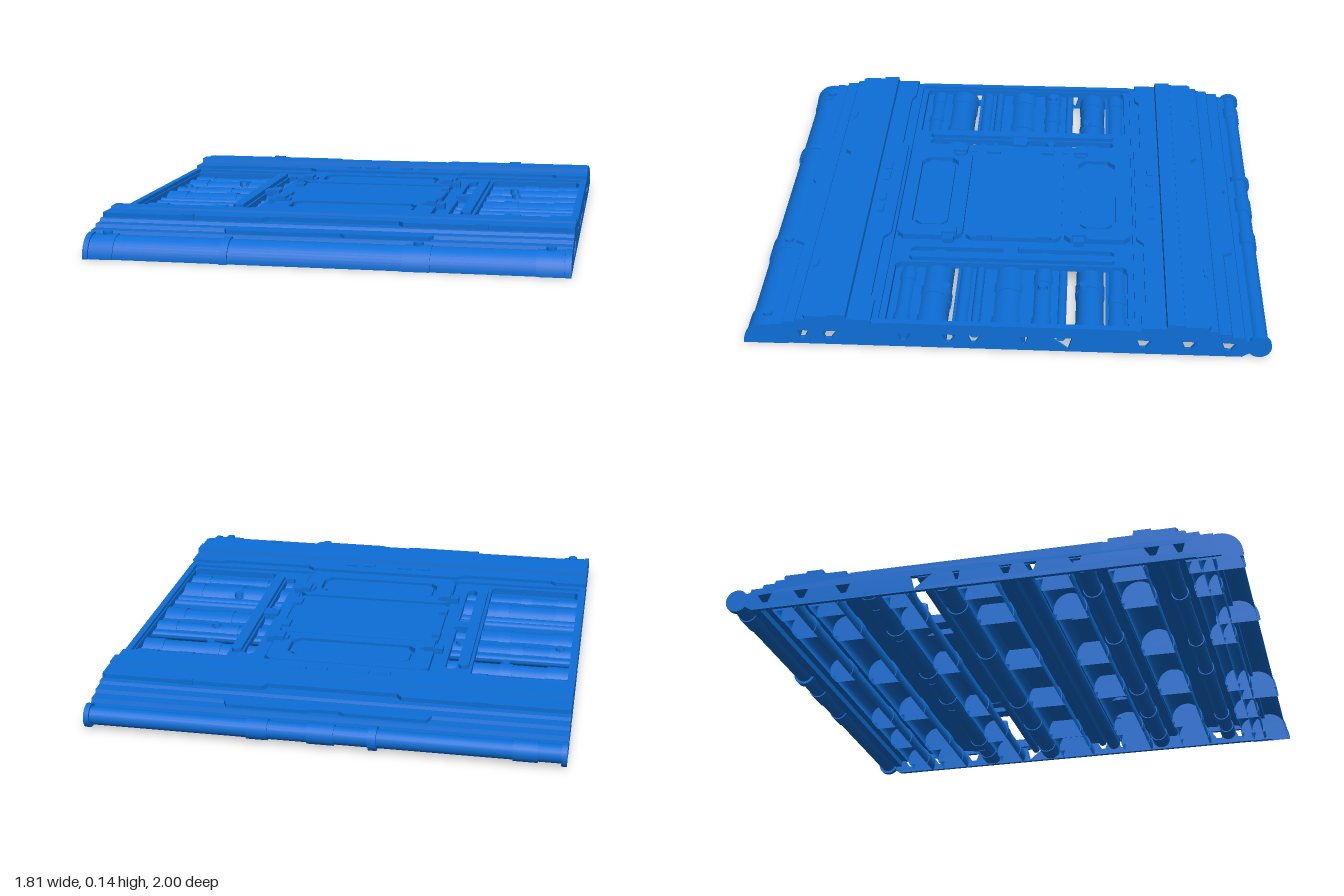
import * as THREE from 'three';

const W = 1.81, HALF = W / 2;
const mat = new THREE.MeshStandardMaterial({ color: 0x0d6fd8, side: THREE.DoubleSide });
const flat = mat.clone();
flat.flatShading = true;

export function createModel() {
  const root = new THREE.Group();
  const add = (name, geo, m = flat) => {
    const mesh = new THREE.Mesh(geo, m);
    mesh.name = name;
    root.add(mesh);
  };
  const box = (name, x0, x1, y0, y1, z0, z1) => add(name,
    new THREE.BoxGeometry(x1 - x0, y1 - y0, z1 - z0).translate((x0 + x1) / 2, (y0 + y1) / 2, (z0 + z1) / 2));

  // outline in x/z raised between two heights
  const plate = (name, shape, y0, y1) => add(name,
    new THREE.ExtrudeGeometry(shape, { depth: y1 - y0, bevelEnabled: false })
      .rotateX(Math.PI / 2).translate(0, y1, 0));
  // section in z/y swept along x
  const sweep = (name, shape, x0, x1) => add(name,
    new THREE.ExtrudeGeometry(shape, { depth: x1 - x0, bevelEnabled: false })
      .rotateY(-Math.PI / 2).translate(x1, 0, 0));
  const poly = pts => new THREE.Shape(pts.map(p => new THREE.Vector2(...p)));
  // rectangle with cut corners
  const cutRect = (x0, x1, z0, z1, c) => poly([[x0 + c, z0], [x1 - c, z0], [x1, z0 + c], [x1, z1 - c],
    [x1 - c, z1], [x0 + c, z1], [x0, z1 - c], [x0, z0 + c]]);

  // pipe shell along x, cut off at the ground
  const openAngle = (r, cy) => cy >= r ? Math.PI / 2 : Math.asin(cy / r);
  const pipe = (name, x0, x1, z, r, cy) => {
    const a = openAngle(r, cy);
    add(name, new THREE.CylinderGeometry(r, r, x1 - x0, 20, 1, true, -a, Math.PI + 2 * a)
      .rotateZ(Math.PI / 2).translate((x0 + x1) / 2, cy, z), mat);
  };
  // collar around a pipe, closed by an upright web at each side
  const collar = (x0, x1, z, r, cy) => {
    const a = openAngle(r, cy);
    const face = new THREE.Shape().absarc(0, 0, r, -a, Math.PI + a, false);
    pipe('collar', x0, x1, z, r, cy);
    for (const x of [x0, x1])
      add('collarFace', new THREE.ShapeGeometry(face, 10).rotateY(Math.PI / 2).translate(x, cy, z));
  };

  // stepped decks at both ends, thin sheet section swept across the width
  const top = [[0.485, 0.11], [0.6, 0.11], [0.605, 0.143], [0.67, 0.143], [0.675, 0.118], [0.795, 0.118],
    [0.8, 0.106], [0.845, 0.106], [0.85, 0.092], [0.895, 0.092], [0.9, 0.075]];
  const under = [[0.9, 0.06], [0.84, 0.065], [0.76, 0.085], [0.6, 0.09], [0.485, 0.075]];
  for (const s of [1, -1]) {
    const end = s > 0 ? 'front' : 'back';
    sweep(end + 'Deck', poly([...top, ...under].map(([z, y]) => [z * s, y])), -HALF, HALF);

    // raised lips with slanted notches
    const lip = (name, half, y0, y1) => plate(end + name,
      poly([...half, ...half.map(([x, z]) => [-x, z]).reverse()].map(([x, z]) => [x, z * s])), y0, y1);
    lip('InnerLip', [[-HALF, 0.605], [-HALF, 0.508], [-0.89, 0.51], [-0.77, 0.51], [-0.75, 0.526],
      [-0.36, 0.526], [-0.33, 0.498]], 0.105, 0.124);
    lip('OuterLip', [[-HALF, 0.67], [-HALF, 0.76], [-0.89, 0.768], [-0.27, 0.768], [-0.25, 0.742]], 0.115, 0.135);
    lip('EdgeLip', [[-0.4, 0.84], [-0.38, 0.882], [-0.07, 0.882], [-0.05, 0.87]], 0.09, 0.106);
    for (const x of [-0.565, 0.565])
      box(end + 'Catch', x - 0.025, x + 0.025, 0.115, 0.14, s * 0.765 - 0.008, s * 0.765 + 0.008);
    for (const [x, w] of [[-0.165, 0.03], [-0.08, 0.03], [0.08, 0.025], [0.165, 0.025]])
      box(end + 'Rivet', x - w, x + w, 0.115, 0.13, s * 0.562 - 0.013, s * 0.562 + 0.013);

    // cover panel framing a sunken tray
    const [z0, z1] = s > 0 ? [0.21, 0.475] : [-0.475, -0.205];
    const [t0, t1] = s > 0 ? [0.265, 0.425] : [-0.415, -0.255];
    const cover = cutRect(-0.33, 0.33, z0, z1, 0.025);
    cover.holes.push(cutRect(-0.255, 0.255, t0, t1, 0.03));
    plate(end + 'Cover', cover, 0.088, 0.115);
    plate(end + 'Tray', cutRect(-0.24, 0.24, t0 + 0.014, t1 - 0.014, 0.025), 0.088, 0.109);
  }

  // centre floor and middle panel
  box('centrePlate', -0.34, 0.34, 0.075, 0.092, -0.49, 0.49);
  plate('middlePanel', cutRect(-0.33, 0.33, -0.192, 0.197, 0.02), 0.09, 0.111);

  for (const m of [1, -1]) {
    // side plate with a large well and a narrow slot
    const span = (a, b) => [Math.min(m * a, m * b), Math.max(m * a, m * b)];
    const side = cutRect(...span(0.34, HALF), -0.49, 0.49, 0);
    side.holes.push(cutRect(...span(0.495, 0.875), -0.46, 0.46, 0.015));
    side.holes.push(cutRect(...span(0.39, 0.435), -0.41, 0.41, 0.015));
    plate('sidePlate', side, 0.072, 0.099);
    plate('slotRail', cutRect(...span(0.442, 0.483), -0.41, 0.41, 0.012), 0.095, 0.116);
    box('sideRail', ...span(0.88, HALF), 0.09, 0.113, -0.49, 0.49);
    box('slotBridge', ...span(0.38, 0.45), 0.085, 0.112, -0.025, 0.035);
    for (const z of [-0.265, 0.265]) {
      box('latch', ...span(0.275, 0.365), 0.1, 0.124, z - 0.022, z + 0.022);
      box('latchTab', ...span(0.29, 0.33), 0.1, 0.134, z - 0.032, z + 0.03);
    }
    for (const z of [-0.12, 0.12])
      box('panelTab', ...span(0.3, 0.335), 0.1, 0.122, z - 0.03, z + 0.03);

    // outer skirt with small openings along its length
    const skirt = poly([[-0.89, 0.003], [-0.93, 0.03], [-0.93, 0.07], [-0.86, 0.09], [-0.77, 0.11], [-0.67, 0.12],
      [-0.48, 0.1], [0.48, 0.1], [0.67, 0.12], [0.77, 0.11], [0.86, 0.09], [0.92, 0.07], [0.92, 0.003]]);
    for (const [z, w] of [[0.77, 0.022], [0.67, 0.03], [0.385, 0.025], [0.215, 0.025], [0.12, 0.025],
      [-0.07, 0.015], [-0.52, 0.03], [-0.69, 0.03], [-0.84, 0.03]])
      skirt.holes.push(poly([[z - w, 0.066], [z + w, 0.066], [z + w * 0.5, 0.03], [z - w * 0.2, 0.03]]));
    skirt.holes.push(poly([[-0.25, 0.066], [-0.165, 0.066], [-0.235, 0.01]]));
    sweep('skirt', skirt, ...span(0.89, HALF));
  }

  // pipes running across below the decks: z, radius, axis height
  const pipes = [[-0.765, 0.05, 0.03], [-0.605, 0.06, 0.025], [-0.42, 0.04, 0.042],
    [-0.315, 0.054, 0.03], [-0.207, 0.017, 0.06], [-0.13, 0.04, 0.045], [0.005, 0.072, 0.015],
    [0.12, 0.018, 0.065], [0.175, 0.028, 0.052], [0.295, 0.064, 0.022], [0.405, 0.035, 0.045],
    [0.57, 0.065, 0.02], [0.72, 0.03, 0.05], [0.84, 0.05, 0.02]];
  pipes.forEach(([z, r, cy], i) => {
    pipe('crossPipe', -0.895, 0.895, z, r, cy);
    if (r < 0.03) return;
    const shift = ((i * 7) % 5 - 2) * 0.03;
    for (const [x0, x1] of [[-0.88, -0.79], [-0.62 + shift, -0.57 + shift], [-0.2 + shift, -0.14 + shift],
      [0.2 - shift, 0.27 - shift], [0.58 + shift, 0.64 + shift], [0.79, 0.88]])
      collar(x0, x1, z, r + 0.004, cy);
  });

  // valve knobs on the exposed pipes
  for (const [x, z, y] of [[-0.83, -0.13, 0.085], [-0.42, -0.13, 0.085], [0.62, -0.13, 0.085],
    [-0.62, -0.29, 0.08], [0.6, -0.29, 0.08], [0.62, 0.25, 0.07]])
    add('knob', new THREE.CylinderGeometry(0.018, 0.022, 0.025, 10).translate(x, y, z));

  // floor strips between pipes
  for (const [z0, z1] of [[-0.48, -0.375], [-0.225, 0.21], [0.34, 0.48]])
    box('floorStrip', -0.895, 0.895, 0.062, 0.067, z0, z1);

  // half-round front pipe with collars and ports
  pipe('frontPipe', -HALF, HALF, 0.915, 0.075, 0.005);
  for (const [x0, x1] of [[-HALF, -0.885], [-0.88, -0.79], [-0.38, -0.35], [0.3, 0.4], [0.78, 0.88], [0.885, HALF]])
    collar(x0, x1, 0.915, x1 - x0 < 0.04 ? 0.085 : 0.081, 0.003);
  for (const x of [-0.83, 0.35, 0.83])
    add('port', new THREE.CylinderGeometry(0.019, 0.019, 0.03, 12).translate(x, 0.08, 0.915));

  // round back pipe with collars and end flanges
  pipe('backPipe', -HALF, HALF, -0.953, 0.035, 0.05);
  for (const [x0, x1] of [[-HALF, -0.885], [-0.8, -0.71], [-0.21, -0.18], [-0.05, 0.05], [0.2, 0.28], [0.885, HALF]])
    collar(x0, x1, -0.953, x1 - x0 < 0.04 ? 0.046 : 0.04, 0.05);
  box('backPipeShelf', -0.895, 0.895, 0.035, 0.075, -0.93, -0.885);

  return root;
}
